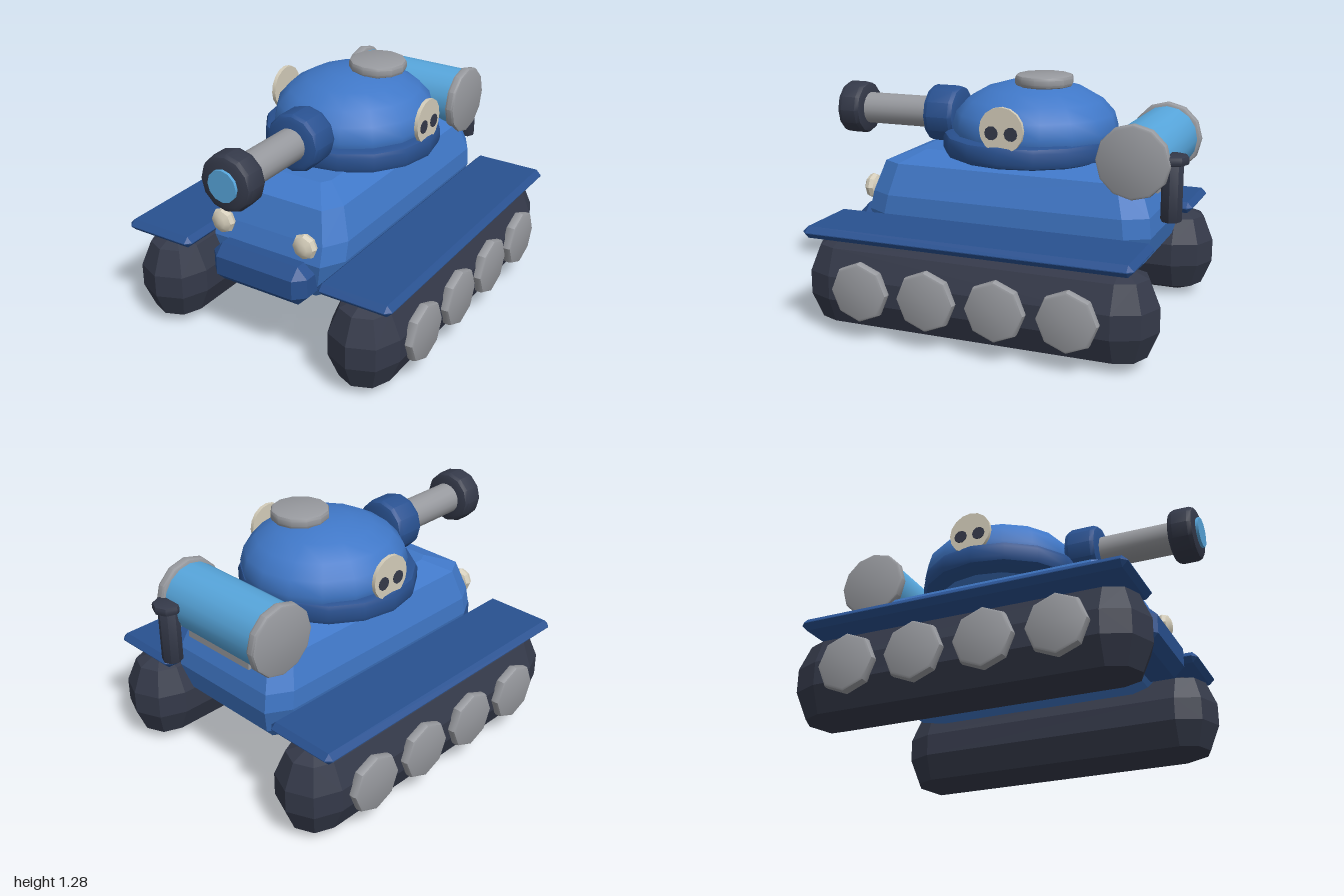
import * as THREE from 'three';
import { toCreasedNormals } from 'three/addons/utils/BufferGeometryUtils.js';
import { ConvexGeometry } from 'three/addons/geometries/ConvexGeometry.js';

const material = (name, color) => {
  const m = new THREE.MeshStandardMaterial({ color });
  m.name = name;
  return m;
};

// Turned disc or drum with bevelled rims, standing along y and centred.
function drum(radius, height, bevel = 0, sides = 12) {
  const h = height / 2;
  const profile = [[0, -h], [radius - bevel, -h]];
  if (bevel) {
    const k = bevel * 0.3;
    profile.push([radius - k, -h + k], [radius, -h + bevel], [radius, h - bevel], [radius - k, h - k]);
  } else profile.push([radius, h]);
  if (bevel) profile.push([radius - bevel, h]);
  else profile[1][0] = radius;
  profile.push([0, h]);
  const g = new THREE.LatheGeometry(profile.map(([x, y]) => new THREE.Vector2(x, y)), sides);
  return toCreasedNormals(g, 0.6);
}

// Box with rounded edges made of the given number of facets per quarter turn.
function bevelBox(w, h, d, radius, steps = 1) {
  const points = [];
  for (const sx of [-1, 1]) for (const sy of [-1, 1]) for (const sz of [-1, 1])
    for (let i = 0; i <= steps; i++) for (let j = 0; j <= steps; j++) {
      const a = (i / steps) * Math.PI / 2, b = (j / steps) * Math.PI / 2;
      points.push(new THREE.Vector3(
        sx * (w / 2 - radius + radius * Math.cos(a) * Math.cos(b)),
        sy * (h / 2 - radius + radius * Math.sin(a)),
        sz * (d / 2 - radius + radius * Math.cos(a) * Math.sin(b))));
    }
  return new ConvexGeometry(points);
}

// Hull from stacked eight-cornered sections: [y, half width, back z, front z, corner cut].
function hullGeometry() {
  const sections = [
    [0.32, 0.29, -0.72, 0.60, 0.06],
    [0.41, 0.35, -0.80, 0.66, 0.07],
    [0.55, 0.385, -0.84, 0.69, 0.07],
    [0.65, 0.385, -0.83, 0.665, 0.07],
    [0.81, 0.335, -0.77, 0.61, 0.06],
    [0.87, 0.20, -0.62, 0.46, 0.03],
  ];
  const points = [];
  for (const [y, x, back, front, cut] of sections)
    for (const s of [-1, 1])
      points.push(
        new THREE.Vector3(s * (x - cut), y, front), new THREE.Vector3(s * x, y, front - cut * 1.7),
        new THREE.Vector3(s * x, y, back + cut * 1.7), new THREE.Vector3(s * (x - cut), y, back));
  return new ConvexGeometry(points);
}

export function createModel() {
  const model = new THREE.Group();
  model.name = 'toyTank';
  const blue = material('bodyBlue', 0x4078c8);
  const navy = material('trimBlue', 0x295190);
  const charcoal = material('charcoal', 0x343949);
  const grey = material('metalGrey', 0x97999e);
  const cream = material('cream', 0xd3ccb9);
  const cyan = material('lightBlue', 0x57a6dc);

  const add = (name, geometry, mat, x, y, z, parent = model) => {
    const mesh = new THREE.Mesh(geometry, mat);
    mesh.name = name;
    mesh.position.set(x, y, z);
    parent.add(mesh);
    return mesh;
  };
  const alongX = (g) => g.rotateZ(-Math.PI / 2);
  const alongZ = (g) => g.rotateX(Math.PI / 2);

  // Hull and front bumper
  add('hull', hullGeometry(), blue, 0, 0, 0);
  add('frontBumper', bevelBox(0.56, 0.21, 0.24, 0.055), navy, 0, 0.45, 0.68);

  // Turret dome, collar and hatch
  const dome = toCreasedNormals(new THREE.SphereGeometry(1, 16, 10).scale(0.42, 0.245, 0.435), 0.7);
  add('turretDome', dome, blue, 0, 1.0, -0.125);
  add('turretCollar', drum(0.465, 0.115, 0.03, 16).scale(1, 1, 0.98), navy, 0, 0.913, -0.1);
  add('hatch', drum(0.15, 0.06, 0.018, 12), grey, 0.088, 1.255, -0.205);

  // Gun
  const gun = new THREE.Group();
  gun.name = 'gun';
  gun.position.set(0, 1.03, 0);
  model.add(gun);
  add('gunMount', alongZ(drum(0.152, 0.18, 0.03)), navy, 0, 0, 0.375, gun);
  add('barrel', alongZ(drum(0.085, 0.6, 0, 16)), grey, 0, 0, 0.6, gun);
  add('muzzle', alongZ(drum(0.143, 0.14, 0.03)), charcoal, 0, 0, 0.915, gun);
  add('muzzleLens', alongZ(drum(0.08, 0.05, 0)), cyan, 0, 0, 0.975, gun);

  // Mirrored running gear, lamps and turret badges
  for (const s of [-1, 1]) {
    const side = s > 0 ? 'left' : 'right';
    add(side + 'Track', bevelBox(0.375, 0.495, 1.84, 0.187, 2), charcoal, s * 0.577, 0.2475, -0.043);
    add(side + 'Fender', bevelBox(0.405, 0.06, 1.71, 0.028), navy, s * 0.578, 0.525, -0.025);
    for (let i = 0; i < 4; i++)
      add(side + 'Wheel' + (i + 1), alongX(drum(0.152, 0.055, 0.016, 8)), grey,
        s * 0.781, 0.258, 0.5 - i * 0.36);
    const lamp = toCreasedNormals(new THREE.SphereGeometry(1, 8, 6).rotateX(Math.PI / 2).scale(0.067, 0.068, 0.042), 0.5);
    add(side + 'Headlight', lamp, cream, s * 0.243, 0.655, 0.705);
    add(side + 'BadgePlate', alongX(drum(0.115, 0.02, 0, 16)), cream, s * 0.435, 1.05, -0.113);
    for (const z of [-0.063, -0.165])
      add(side + 'BadgeEye', alongX(drum(0.035, 0.006, 0, 10)), charcoal, s * 0.446, 1.035, z);
  }

  // Rear fuel drum, its end caps and bracket
  add('fuelDrum', alongX(drum(0.166, 0.62, 0, 16)), cyan, 0, 0.925, -0.745);
  for (const s of [-1, 1])
    add('fuelDrumCap', alongX(drum(0.185, 0.055, 0.015, 12)), grey, s * 0.33, 0.925, -0.745);
  add('drumBracket', new THREE.BoxGeometry(0.44, 0.09, 0.2), grey, 0, 0.8, -0.745);

  // Exhaust pipe
  add('exhaustPipe', drum(0.053, 0.3, 0.01, 8), charcoal, 0.265, 0.785, -0.922);
  add('exhaustRim', drum(0.076, 0.045, 0.012, 8), charcoal, 0.265, 0.94, -0.924);
  return model;
}
